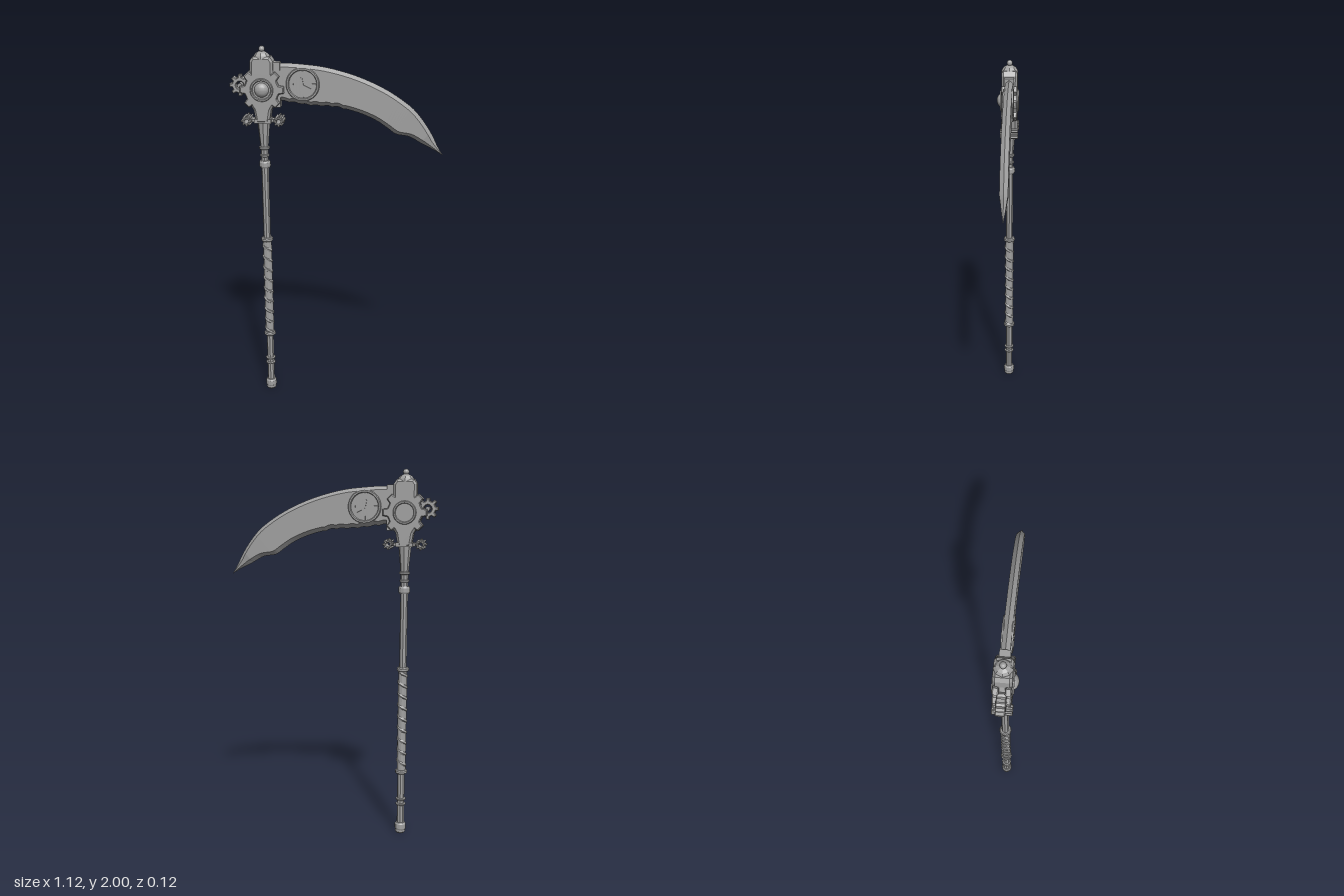
import * as THREE from 'three';

const steel = new THREE.MeshStandardMaterial({ color: 0xa0a0a0, flatShading: true });
steel.name = 'steel grey';

function add(parent, name, geometry, x = 0, y = 0, z = 0) {
  const mesh = new THREE.Mesh(geometry, steel);
  mesh.name = name;
  mesh.position.set(x, y, z);
  parent.add(mesh);
  return mesh;
}

const lathe = (pts, sides) => new THREE.LatheGeometry(pts.map(p => new THREE.Vector2(...p)), sides);

// Extrusion centred on z = 0, bevels included in the depth
function slab(shape, depth, bevel) {
  const g = new THREE.ExtrudeGeometry(shape, {
    depth: depth - 2 * bevel, bevelThickness: bevel, bevelSize: bevel,
    bevelOffset: -bevel, bevelSegments: 1, curveSegments: 24,
  });
  return g.translate(0, 0, -depth / 2 + bevel);
}

// Toothed wheel with an optional round hole
function gear(outer, root, teeth, depth, bevel, hole = 0) {
  const pts = [];
  for (let i = 0; i < teeth; i++) {
    for (const [f, r] of [[-0.31, root], [-0.19, outer], [0.19, outer], [0.31, root], [0.5, root * 0.98]]) {
      const a = (i + f) / teeth * Math.PI * 2;
      pts.push(new THREE.Vector2(Math.cos(a) * r, Math.sin(a) * r));
    }
  }
  const shape = new THREE.Shape(pts);
  if (hole) shape.holes.push(new THREE.Path().absarc(0, 0, hole, 0, Math.PI * 2, true));
  return slab(shape, depth, bevel);
}

// Curved blade: six-sided sections swept from the collar to the tip
function bladeGeometry() {
  const rows = [ // upper x, y, lower x, y
    [-0.31, 1.912, -0.31, 1.715], [-0.24, 1.912, -0.25, 1.71], [-0.16, 1.906, -0.17, 1.698],
    [-0.08, 1.897, -0.09, 1.692], [0, 1.88, -0.01, 1.688], [0.09, 1.854, 0.06, 1.674],
    [0.18, 1.819, 0.13, 1.653], [0.27, 1.774, 0.21, 1.617], [0.35, 1.722, 0.27, 1.577],
    [0.4, 1.682, 0.31, 1.549], [0.45, 1.624, 0.38, 1.536], [0.5, 1.548, 0.45, 1.498],
    [0.53, 1.488, 0.51, 1.468], [0.56, 1.438, 0.56, 1.438],
  ];
  const curve = k => new THREE.CatmullRomCurve3(rows.map(r => new THREE.Vector3(r[k], r[k + 1], 0)));
  const upper = curve(0), lower = curve(2), steps = (rows.length - 1) * 5;
  const pos = [], idx = [];
  for (let i = 0; i <= steps; i++) {
    const T = upper.getPoint(i / steps), B = lower.getPoint(i / steps);
    // small scallops under the first part of the edge
    if (B.x < 0.04) B.y += 0.007 * Math.abs(Math.sin((B.x + 0.31) * 55)) - 0.003;
    const half = 0.021 * Math.min(1, Math.max(0, (0.56 - T.x) / 0.07));
    const len = T.distanceTo(B);
    const a = T.clone().lerp(B, Math.min(0.3, 0.018 / (len + 1e-6)));
    const b = B.clone().lerp(T, Math.min(0.3, 0.022 / (len + 1e-6)));
    for (const [p, z] of [[T, 0], [a, half], [b, half], [B, 0], [b, -half], [a, -half]]) pos.push(p.x, p.y, z);
    if (i === steps) break;
    for (let j = 0; j < 6; j++) {
      const p = i * 6 + j, q = i * 6 + (j + 1) % 6;
      idx.push(p, q, q + 6, p, q + 6, p + 6);
    }
  }
  const g = new THREE.BufferGeometry();
  g.setAttribute('position', new THREE.Float32BufferAttribute(pos, 3));
  g.setIndex(idx);
  g.computeVertexNormals();
  return g;
}

export function createModel() {
  const model = new THREE.Group();
  model.name = 'scythe';
  const g = new THREE.Group();
  g.name = 'scytheParts';
  g.position.set(-0.39, 0, -0.012);
  model.add(g);

  // Pole and pommel
  add(g, 'pole', lathe([[0.02, 0.05], [0.02, 1.42], [0.022, 1.47], [0.034, 1.6], [0.036, 1.64]], 8));
  add(g, 'pommel', lathe([[0, 0], [0.022, 0], [0.028, 0.008], [0.028, 0.02], [0.031, 0.028],
    [0.031, 0.052], [0.025, 0.062], [0, 0.064]], 12));

  // Collars along the pole: height, thickness, radius
  for (const [y, h, r] of [[0.17, 0.012, 0.028], [0.2, 0.012, 0.028], [0.36, 0.022, 0.033],
    [0.94, 0.022, 0.033], [1.372, 0.04, 0.031], [1.42, 0.014, 0.026], [1.462, 0.016, 0.029]]) {
    add(g, 'poleCollar', lathe([[0, -h / 2], [r * 0.85, -h / 2], [r, -h / 4], [r, h / 4],
      [r * 0.85, h / 2], [0, h / 2]], 12), 0, y);
  }

  // Wrapped grip
  add(g, 'grip', new THREE.CylinderGeometry(0.024, 0.024, 0.58, 12), 0, 0.65);
  const helix = [];
  for (let i = 0; i <= 144; i++) {
    const a = i / 144 * 9 * Math.PI * 2;
    helix.push(new THREE.Vector3(Math.cos(a) * 0.018, 0.365 + 0.57 * i / 144, Math.sin(a) * 0.018));
  }
  add(g, 'gripWrap', new THREE.TubeGeometry(new THREE.CatmullRomCurve3(helix), 216, 0.011, 6));

  // Cross guard with a long pinion at each end
  add(g, 'guardBar', new THREE.BoxGeometry(0.15, 0.016, 0.05), 0, 1.612);
  add(g, 'guardPlate', new THREE.BoxGeometry(0.09, 0.022, 0.085), 0, 1.612);
  for (const s of [-1, 1]) {
    add(g, 'guardPinion', gear(0.028, 0.02, 8, 0.1, 0.002, 0.011), s * 0.085, 1.613);
  }

  // Head block
  const half = [[0.034, 1.6], [0.046, 1.67], [0.07, 1.71], [0.072, 1.83], [0.06, 1.86], [0.06, 1.925], [0.045, 1.947]];
  const outline = [...half, ...half.map(([x, y]) => [-x, y]).reverse()];
  add(g, 'headBlock', slab(new THREE.Shape(outline.map(p => new THREE.Vector2(...p))), 0.088, 0.012));

  // Finial
  add(g, 'finialCap', lathe([[0.046, 1.935], [0.042, 1.95], [0.032, 1.963], [0.016, 1.972], [0, 1.974]], 8));
  add(g, 'finialBall', new THREE.SphereGeometry(0.016, 16, 12), 0, 1.984);

  // Large gears on both faces
  for (const s of [-1, 1]) {
    add(g, 'largeGear', gear(0.117, 0.092, 8, 0.03, 0.005), 0, 1.778, s * 0.029);
    add(g, 'gearRim', new THREE.TorusGeometry(0.054, 0.007, 6, 32), 0, 1.778, s * 0.045);
  }
  add(g, 'gearHub', new THREE.SphereGeometry(0.038, 24, 16).scale(1, 1, 0.75), 0, 1.778, 0.042);

  // Side gear opposite the blade
  add(g, 'sideGear', gear(0.056, 0.042, 8, 0.046, 0.004, 0.02), -0.117, 1.797);
  add(g, 'sideGearAxle', new THREE.CylinderGeometry(0.012, 0.012, 0.052, 12).rotateX(Math.PI / 2), -0.117, 1.797);

  // Blade with its collar
  add(g, 'bladeCollar', new THREE.BoxGeometry(0.045, 0.235, 0.052), 0.073, 1.802);
  add(g, 'blade', bladeGeometry(), 0.39);

  // Clock dial on each side of the blade
  for (const s of [-1, 1]) {
    const dial = new THREE.Group();
    dial.name = 'clockDial';
    dial.position.set(0.213, 1.807, s * 0.021);
    if (s < 0) dial.rotation.y = Math.PI;
    g.add(dial);
    add(dial, 'dialRing', new THREE.TorusGeometry(0.08, 0.008, 6, 40));
    for (let i = 0; i < 4; i++) {
      const a = i * Math.PI / 2;
      add(dial, 'hourMark', new THREE.BoxGeometry(0.022, 0.009, 0.009),
        Math.cos(a) * 0.06, Math.sin(a) * 0.06, 0.002).rotation.z = a;
    }
    for (const [a, len] of [[1.75, 0.042], [-0.45, 0.05]]) {
      const angle = s > 0 ? a : Math.PI - a;
      add(dial, 'clockHand', new THREE.BoxGeometry(len, 0.009, 0.009),
        Math.cos(angle) * len / 2, Math.sin(angle) * len / 2 - 0.006, 0.002).rotation.z = angle;
    }
  }
  return model;
}
